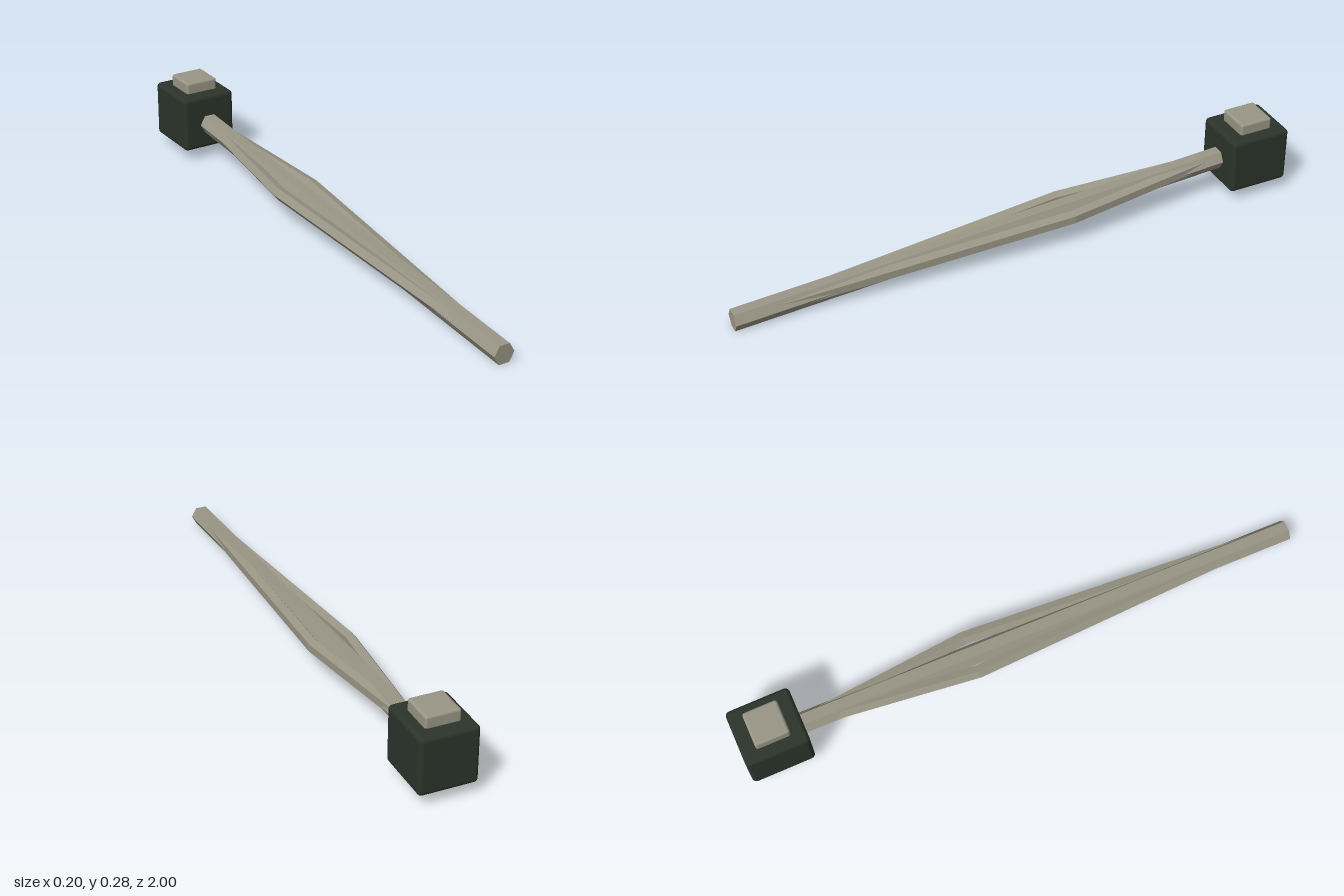
import * as THREE from 'three';
import { RoundedBoxGeometry } from 'three/addons/geometries/RoundedBoxGeometry.js';

// Polygonal bar whose upright rings follow a list of [x, y, z] centres, front to back.
function barGeometry(centres, sides, radius, turn) {
  const pos = [];
  const at = (c, i) => {
    const a = turn + (i / sides) * Math.PI * 2;
    return [c[0] + Math.cos(a) * radius, c[1] + Math.sin(a) * radius, c[2]];
  };
  const last = centres[centres.length - 1];
  for (let i = 0; i < sides; i++) {
    for (let k = 0; k < centres.length - 1; k++) {
      const a = at(centres[k], i), b = at(centres[k], i + 1);
      const c = at(centres[k + 1], i), d = at(centres[k + 1], i + 1);
      pos.push(...a, ...c, ...d, ...a, ...d, ...b);
    }
    // end caps
    pos.push(...centres[0], ...at(centres[0], i), ...at(centres[0], i + 1));
    pos.push(...last, ...at(last, i + 1), ...at(last, i));
  }
  const g = new THREE.BufferGeometry();
  g.setAttribute('position', new THREE.Float32BufferAttribute(pos, 3));
  g.computeVertexNormals();
  return g;
}

export function createModel() {
  const model = new THREE.Group();
  model.name = 'bracedRod';

  const rodGrey = new THREE.MeshStandardMaterial({ color: 0x9a9686 });
  rodGrey.name = 'warm grey';
  const blockGreen = new THREE.MeshStandardMaterial({ color: 0x2b342b });
  blockGreen.name = 'dark green';

  const add = (name, geometry, material, x = 0, y = 0, z = 0) => {
    const mesh = new THREE.Mesh(geometry, material);
    mesh.name = name;
    mesh.position.set(x, y, z);
    model.add(mesh);
  };

  // Main hexagonal rod, rising towards the block
  add('mainRod', barGeometry([[0, 0.032, 1], [0, 0.133, -0.8]], 6, 0.037, 0), rodGrey);

  // Bowed five-sided braces on both sides
  for (const s of [-1, 1]) {
    const path = [[0, 0.036, 0.998], [s * 0.064, 0.104, -0.18], [0, 0.136, -0.79]];
    add(s > 0 ? 'leftBrace' : 'rightBrace', barGeometry(path, 5, 0.023, Math.PI), rodGrey);
  }

  // Block at the back with a small cap on top
  add('block', new RoundedBoxGeometry(0.2, 0.2, 0.22, 3, 0.015), blockGreen, 0, 0.14, -0.89);
  add('cap', new RoundedBoxGeometry(0.12, 0.05, 0.12, 3, 0.009), rodGrey, 0, 0.255, -0.89);

  return model;
}
